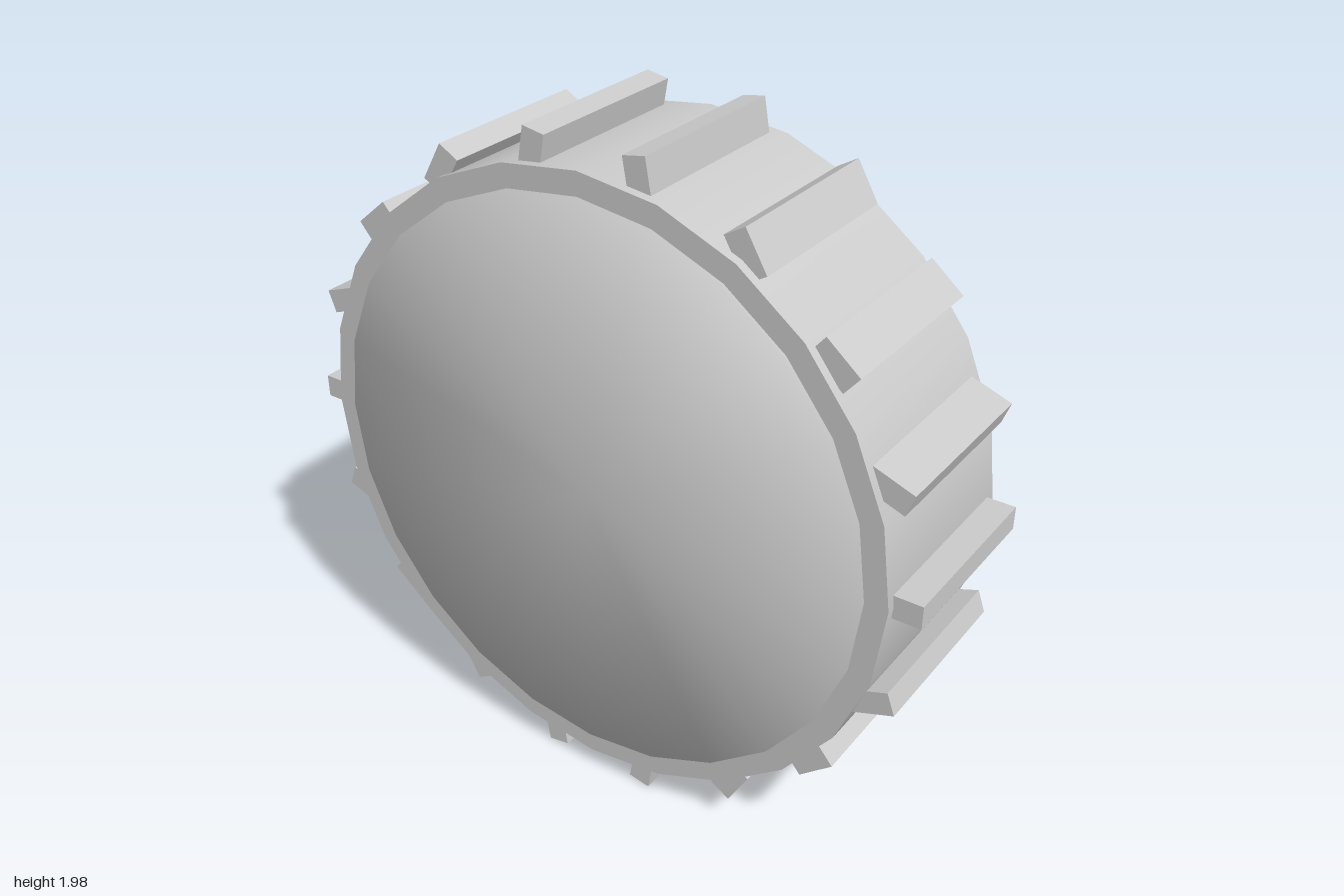
import * as THREE from 'three';

const AXLE_Y = 0.992;

export function createModel() {
  const wheel = new THREE.Group();
  wheel.name = 'wheel';

  const grey = new THREE.MeshStandardMaterial({ color: 0xcccccc });
  const greyFlat = new THREE.MeshStandardMaterial({ color: 0xcccccc, flatShading: true });
  const olive = new THREE.MeshStandardMaterial({ color: 0x485038, flatShading: true });

  const add = (name, geometry, material) => {
    const mesh = new THREE.Mesh(geometry, material);
    mesh.name = name;
    wheel.add(mesh);
    return mesh;
  };

  // Round part lying along the x axis, from x0 to x1
  const disc = (name, radius, x0, x1, sides, material) => {
    const geometry = new THREE.CylinderGeometry(radius, radius, x1 - x0, sides);
    geometry.rotateZ(-Math.PI / 2).translate((x0 + x1) / 2, AXLE_Y, 0);
    return add(name, geometry, material);
  };

  // Tyre body
  disc('tyre', 0.922, -0.352, 0.238, 24, grey);

  // Slightly raised side plates, softly shaded towards their rims
  const plateProfile = [[0, -0.361], [0.855, -0.361], [0.855, 0.246], [0, 0.246]];
  const plates = new THREE.LatheGeometry(plateProfile.map(([r, x]) => new THREE.Vector2(r, x)), 24);
  plates.rotateZ(-Math.PI / 2).translate(0, AXLE_Y, 0);
  add('sidePlates', plates, grey);

  // Hub disc and axle cap on the outer side
  disc('hubDisc', 0.508, 0.2, 0.268, 16, olive);
  const cap = disc('axleCap', 0.163, 0.22, 0.356, 10, greyFlat);
  cap.geometry.computeBoundingSphere();

  // Tread lugs: each one turns against its place on the circle
  const lugGeometry = new THREE.BoxGeometry(0.53, 0.068, 0.125);
  const lugs = 18;
  const lugRadius = 0.9375;
  for (let i = 0; i < lugs; i++) {
    const angle = (i / lugs) * Math.PI * 2;
    const lug = add('treadLug', lugGeometry, greyFlat);
    lug.position.set(-0.06, AXLE_Y + lugRadius * Math.sin(angle), lugRadius * Math.cos(angle));
    lug.rotation.x = angle;
  }

  return wheel;
}
